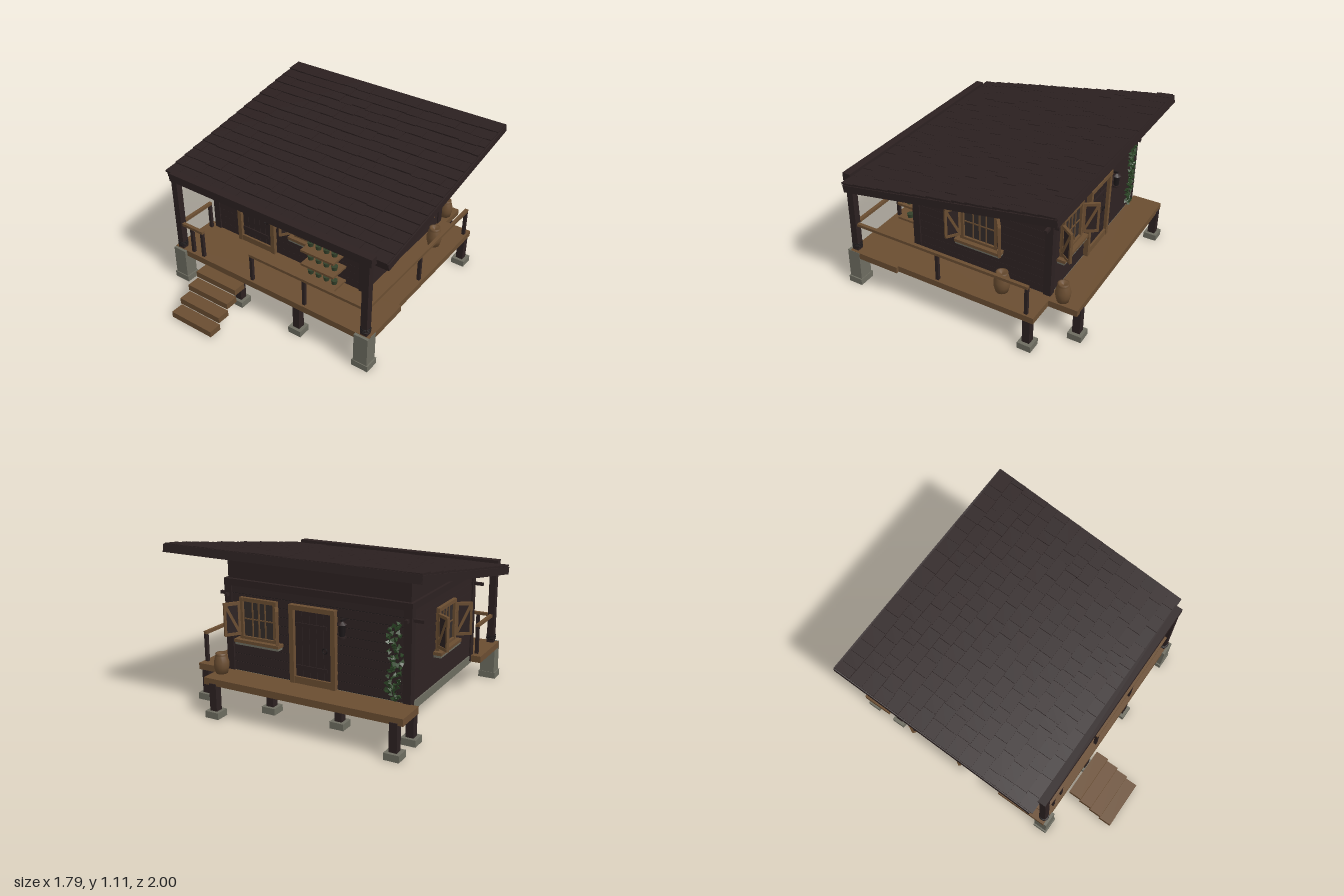
import * as THREE from 'three';

const mat = (name, color) => Object.assign(new THREE.MeshStandardMaterial({ color }), { name });
const darkWood = mat('dark wood', 0x2c2121);
const shingleMat = mat('roof shingle', 0x2b2020);
const wood = mat('light wood', 0x6a4d31);
const stone = mat('stone', 0x6d6c60);
const glass = mat('window glass', 0x332c2a);
const leaf = mat('leaf green', 0x2c4526);
const potMat = mat('pot green', 0x34422b);
const iron = mat('iron', 0x1d1819);

// Small seeded random generator
let seed = 7;
const rnd = () => (seed = (seed * 16807) % 2147483647) / 2147483647;

function add(parent, name, geo, m, x = 0, y = 0, z = 0) {
  const mesh = new THREE.Mesh(geo, m);
  mesh.name = name;
  mesh.position.set(x, y, z);
  parent.add(mesh);
  return mesh;
}
const box = (p, name, m, x0, x1, y0, y1, z0, z1) =>
  add(p, name, new THREE.BoxGeometry(x1 - x0, y1 - y0, z1 - z0), m, (x0 + x1) / 2, (y0 + y1) / 2, (z0 + z1) / 2);
const group = (p, name, x = 0, y = 0, z = 0, ry = 0) => {
  const g = new THREE.Group();
  g.name = name;
  g.position.set(x, y, z);
  g.rotation.y = ry;
  p.add(g);
  return g;
};
// Bar between two points in a plane of constant z
function brace(p, name, m, x0, y0, x1, y1, z, w) {
  const b = add(p, name, new THREE.BoxGeometry(Math.hypot(x1 - x0, y1 - y0), w, w), m, (x0 + x1) / 2, (y0 + y1) / 2, z);
  b.rotation.z = Math.atan2(y1 - y0, x1 - x0);
}

// Framed window facing +z, with sill and half-open shutters
function windowUnit(p, name, x, y, z, ry) {
  const g = group(p, name, x, y, z, ry);
  const w = 0.14, h = 0.14;
  box(g, 'windowPane', glass, -w + 0.02, w - 0.02, -h + 0.02, h - 0.02, 0, 0.008);
  for (const s of [-1, 1]) {
    box(g, 'windowJamb', wood, s * (w - 0.013) - 0.013, s * (w - 0.013) + 0.013, -h, h, -0.01, 0.025);
    box(g, 'windowRail', wood, -w, w, s * (h - 0.012) - 0.012, s * (h - 0.012) + 0.012, -0.01, 0.024);
    box(g, 'mullion', wood, s * 0.048 - 0.004, s * 0.048 + 0.004, -h, h, 0, 0.014);
    // Shutter frame hinged on the jamb
    const sh = group(g, 'shutter', s * w, 0, 0.02, s > 0 ? -0.95 : Math.PI + 0.95);
    box(sh, 'shutterPanel', darkWood, 0.005, 0.1, -0.1, 0.1, -0.005, 0.005);
    for (const px of [0.008, 0.1]) box(sh, 'shutterStile', wood, px - 0.008, px + 0.008, -0.11, 0.11, -0.009, 0.009);
    for (const py of [-0.1, 0.1]) box(sh, 'shutterBatten', wood, 0, 0.105, py - 0.01, py + 0.01, -0.01, 0.01);
    brace(sh, 'shutterBrace', wood, 0.01, -0.09, 0.095, 0.09, 0, 0.018);
  }
  box(g, 'mullion', wood, -0.005, 0.005, -h, h, 0, 0.014);
  box(g, 'crossbar', wood, -w, w, -0.004, 0.004, 0, 0.013);
  box(g, 'sill', wood, -w - 0.03, w + 0.03, -h - 0.014, -h + 0.006, -0.01, 0.055);
  box(g, 'sillBlock', stone, -w - 0.025, w + 0.025, -h - 0.03, -h - 0.014, -0.01, 0.05);
}

// Plank door facing +z, standing on y = 0
function doorUnit(p, name, x, y, z, ry) {
  const g = group(p, name, x, y, z, ry);
  for (const s of [-1, 1]) box(g, 'doorJamb', wood, s * 0.148 - 0.016, s * 0.148 + 0.016, 0, 0.51, -0.01, 0.035);
  box(g, 'doorHead', wood, -0.164, 0.164, 0.48, 0.51, -0.01, 0.038);
  box(g, 'threshold', wood, -0.15, 0.15, 0, 0.045, -0.01, 0.03);
  box(g, 'doorCore', iron, -0.14, 0.14, 0.03, 0.49, -0.01, 0.008);
  for (let i = 0; i < 5; i++) box(g, 'doorPlank', darkWood, -0.127 + i * 0.051, -0.079 + i * 0.051, 0.045, 0.48, 0, 0.015);
  for (const by of [0.11, 0.385]) box(g, 'doorBand', darkWood, -0.125, 0.1, by - 0.012, by + 0.012, 0, 0.022);
  add(g, 'doorRing', new THREE.TorusGeometry(0.016, 0.004, 6, 14), iron, 0.085, 0.24, 0.02);
}

// Wall lantern on a bracket, facing +z
function lantern(p, x, y, z, ry) {
  const g = group(p, 'lantern', x, y, z, ry);
  box(g, 'lanternBracket', iron, -0.006, 0.006, 0.05, 0.062, 0, 0.05);
  add(g, 'lanternBody', new THREE.CylinderGeometry(0.022, 0.018, 0.075, 6), iron, 0, -0.005, 0.042);
  add(g, 'lanternCap', new THREE.CylinderGeometry(0.008, 0.032, 0.02, 6), darkWood, 0, 0.042, 0.042);
  add(g, 'lanternBase', new THREE.CylinderGeometry(0.027, 0.027, 0.012, 6), darkWood, 0, -0.047, 0.042);
}

function buildFoundation(root) {
  const g = group(root, 'foundation');
  for (const x of [-0.775, 0.77]) {
    box(g, 'stonePier', stone, x - 0.052, x + 0.052, 0.04, 0.262, 0.55, 0.645);
    box(g, 'pierFoot', stone, x - 0.062, x + 0.062, 0, 0.045, 0.545, 0.65);
  }
  const feet = [[-0.26, 0.595], [0.245, 0.595], [-0.75, -0.95], [0.53, -0.95]];
  for (const x of [-0.75, -0.26, 0.25, 0.77]) feet.push([x, -0.72]);
  for (const [x, z] of feet) {
    box(g, 'footing', stone, x - 0.05, x + 0.05, 0, 0.045, z - 0.048, z + 0.048);
    box(g, 'stilt', darkWood, x - 0.026, x + 0.026, 0.04, 0.23, z - 0.026, z + 0.026);
  }
  box(g, 'floorSlab', stone, -0.755, 0.555, 0.205, 0.26, -0.76, 0.265);
  box(g, 'floorPanel', stone, -0.7, 0.5, 0.198, 0.21, -0.7, 0.21);
  box(g, 'frontDeck', wood, -0.83, 0.82, 0.217, 0.263, 0.24, 0.625);
  box(g, 'sideDeck', wood, 0.55, 0.8, 0.219, 0.263, -0.77, 0.24);
  box(g, 'backDeck', wood, -0.81, 0.6, 0.217, 0.263, -0.97, -0.755);
  for (let i = 0; i < 4; i++)
    box(g, 'step', wood, -0.53, -0.18, 0.01 + i * 0.06, 0.055 + i * 0.06, 0.905 - i * 0.088, 1 - i * 0.088);
}

function buildWalls(root) {
  const g = group(root, 'walls');
  box(g, 'wallCore', iron, -0.745, 0.545, 0.26, 0.835, -0.745, 0.26);
  // Lapped siding: centre, length and heading of each wall
  const sides = [[-0.1, 0.26, 1.28, 0], [-0.1, -0.745, 1.28, Math.PI],
    [0.545, -0.243, 1.0, Math.PI / 2], [-0.745, -0.243, 1.0, -Math.PI / 2]];
  for (const [x, z, len, ry] of sides) {
    const w = group(g, 'siding', x, 0, z, ry);
    for (let i = 0; i < 10; i++)
      add(w, 'sidingBoard', new THREE.BoxGeometry(len, 0.053, 0.014), darkWood, 0, 0.293 + i * 0.058, 0).rotation.x = -0.09;
    box(w, 'topTrim', darkWood, -len / 2 - 0.02, len / 2 + 0.02, 0.835, ry ? 0.88 : 0.845, -0.02, 0.018);
  }
  for (const x of [-0.735, 0.535]) for (const z of [-0.737, 0.25])
    box(g, 'cornerPost', darkWood, x - 0.026, x + 0.026, 0.225, 0.845, z - 0.026, z + 0.026);
  // Crossing beam ends at the corners
  for (const z of [-0.735, 0.25]) box(g, 'crossBeam', darkWood, -0.825, 0.61, 0.765, 0.785, z - 0.01, z + 0.01);
  for (const x of [-0.735, 0.535]) box(g, 'crossBeam', darkWood, x - 0.01, x + 0.01, 0.765, 0.785, -0.79, 0.31);
  // Sloped upper wall under the roof
  const s = new THREE.Shape([[-0.255, 0.82], [0.74, 0.82], [0.74, 1.04], [-0.255, 0.86]].map(a => new THREE.Vector2(...a)));
  const gable = add(g, 'gableWall', new THREE.ExtrudeGeometry(s, { depth: 1.29, bevelEnabled: false }), darkWood, -0.745, 0, 0);
  gable.rotation.y = Math.PI / 2;

  doorUnit(g, 'frontDoor', -0.353, 0.264, 0.262, 0);
  doorUnit(g, 'backDoor', -0.1, 0.264, -0.75, Math.PI);
  windowUnit(g, 'frontWindow', 0.125, 0.63, 0.268, 0);
  windowUnit(g, 'backWindow', 0.3, 0.63, -0.753, Math.PI);
  windowUnit(g, 'sideWindow', 0.552, 0.62, -0.248, Math.PI / 2);
  windowUnit(g, 'sideWindow', -0.752, 0.62, -0.248, -Math.PI / 2);
  lantern(g, -0.13, 0.685, 0.265, 0);
  lantern(g, -0.32, 0.67, -0.752, Math.PI);
}

function buildRoof(root) {
  const g = group(root, 'roof', 0, 0.952, -0.19);
  g.rotation.x = 0.172;
  box(g, 'roofSlab', darkWood, -0.885, 0.88, -0.028, 0.012, -0.755, 0.755);
  for (const x of [-0.888, 0.883]) box(g, 'bargeBoard', darkWood, x - 0.011, x + 0.011, -0.034, 0.016, -0.763, 0.763);
  box(g, 'frontFascia', darkWood, -0.895, 0.89, -0.034, 0.014, 0.748, 0.765);
  box(g, 'backFascia', darkWood, -0.895, 0.89, -0.034, 0.02, -0.765, -0.748);
  // Overlapping shingles of uneven width
  const rows = 16, pitch = 1.51 / rows;
  for (let r = 0; r < rows; r++) {
    for (let x = -0.893; x < 0.885;) {
      let w = 0.07 + rnd() * 0.08;
      if (x + w > 0.85) w = 0.888 - x;
      const sh = add(g, 'shingle', new THREE.BoxGeometry(w - 0.002, 0.012, pitch * 1.2), shingleMat,
        x + w / 2, 0.02 + rnd() * 0.004, -0.75 + (r + 0.5) * pitch + rnd() * 0.01);
      sh.rotation.x = -0.07;
      x += w;
    }
  }
}

function buildPorch(root) {
  const g = group(root, 'porch');
  for (const x of [-0.78, 0.775]) {
    box(g, 'porchPost', darkWood, x - 0.024, x + 0.024, 0.255, 0.84, 0.573, 0.621);
    for (let i = 0; i < 3; i++)
      add(g, 'postRope', new THREE.TorusGeometry(0.031, 0.005, 5, 14), iron, x, 0.29 + i * 0.012, 0.597).rotation.x = Math.PI / 2;
  }
  box(g, 'porchBeam', darkWood, -0.815, 0.815, 0.815, 0.873, 0.568, 0.625);
  // Rails with slim posts
  const railX = (x0, x1, posts) => {
    box(g, 'frontRail', wood, x0, x1, 0.455, 0.475, 0.585, 0.61);
    for (const x of posts) box(g, 'railPost', darkWood, x - 0.011, x + 0.011, 0.26, 0.457, 0.587, 0.609);
  };
  railX(-0.77, -0.57, [-0.675, -0.581]);
  railX(-0.15, 0.76, [-0.138, 0.3]);
  const railZ = (x, z0, z1, posts) => {
    box(g, 'sideRail', wood, x - 0.012, x + 0.012, 0.455, 0.475, z0, z1);
    for (const z of posts) box(g, 'railPost', darkWood, x - 0.011, x + 0.011, 0.26, 0.457, z - 0.011, z + 0.011);
  };
  railZ(0.775, -0.72, 0.58, [-0.709, -0.06]);
  railZ(-0.78, 0.29, 0.58, [0.3]);
}

function buildProps(root) {
  // Plant shelves
  const g = group(root, 'plantShelves', 0.32, 0, 0.415);
  [0.36, 0.475, 0.585].forEach((y, row) => {
    box(g, 'shelf', wood, -0.13, 0.13, y - 0.008, y + 0.008, -0.075, 0.075);
    for (let i = 0; i < 4; i++) {
      const x = -0.1 + i * 0.063;
      add(g, 'plantPot', new THREE.CylinderGeometry(0.023, 0.018, 0.03, 10), potMat, x, y + 0.023, 0);
      for (let k = 0; k < 6 && row === 2; k++) {
        const a = k * 1.05 + i, l = add(g, 'plantLeaf', new THREE.ConeGeometry(0.009, 0.055, 4), leaf,
          x + Math.cos(a) * 0.014, y + 0.058, Math.sin(a) * 0.014);
        l.rotation.set(Math.sin(a) * 0.5, 0, -Math.cos(a) * 0.5);
      }
    }
  });
  // Storage jars
  const jar = [[0, 0], [0.042, 0], [0.053, 0.045], [0.054, 0.08], [0.043, 0.125], [0.037, 0.132], [0.041, 0.145], [0.03, 0.145], [0, 0.13]];
  for (const [x, z, s] of [[0.66, -0.47, 1], [0.55, -0.845, 0.93]])
    add(root, 'jar', new THREE.LatheGeometry(jar.map(a => new THREE.Vector2(...a)), 16), wood, x, 0.263, z).scale.setScalar(s);
  // Crate below the floor
  const c = group(root, 'crate', 0.068, 0, -0.295);
  box(c, 'crateCore', iron, -0.065, 0.065, 0.005, 0.135, -0.065, 0.065);
  for (let k = 0; k < 4; k++) {
    const f = group(c, 'crateSide', 0, 0, 0, k * Math.PI / 2);
    for (let i = 0; i < 4; i++) box(f, 'crateSlat', darkWood, -0.072 + i * 0.037, -0.04 + i * 0.037, 0.003, 0.14, 0.06, 0.07);
    if (k % 2) continue;
    for (const y of [0.012, 0.128]) box(f, 'crateBatten', wood, -0.074, 0.074, y - 0.011, y + 0.011, 0.068, 0.076);
    brace(f, 'crateBrace', wood, -0.06, 0.025, 0.06, 0.115, 0.07, 0.012);
  }
  // Ivy climbing the back corner
  const ivy = group(root, 'ivy');
  for (let i = 0; i < 90; i++) {
    const l = add(ivy, 'ivyLeaf', new THREE.TetrahedronGeometry(0.014 + rnd() * 0.008), leaf,
      -0.655 + (rnd() - 0.5) * 0.09 + Math.sin(i * 0.1) * 0.012, 0.28 + i * 0.0053, -0.765 - rnd() * 0.012);
    l.rotation.set(rnd() * 6, rnd() * 6, rnd() * 6);
  }
}

export function createModel() {
  seed = 7;
  const root = new THREE.Group();
  root.name = 'cabin';
  buildFoundation(root);
  buildWalls(root);
  buildRoof(root);
  buildPorch(root);
  buildProps(root);
  return root;
}
